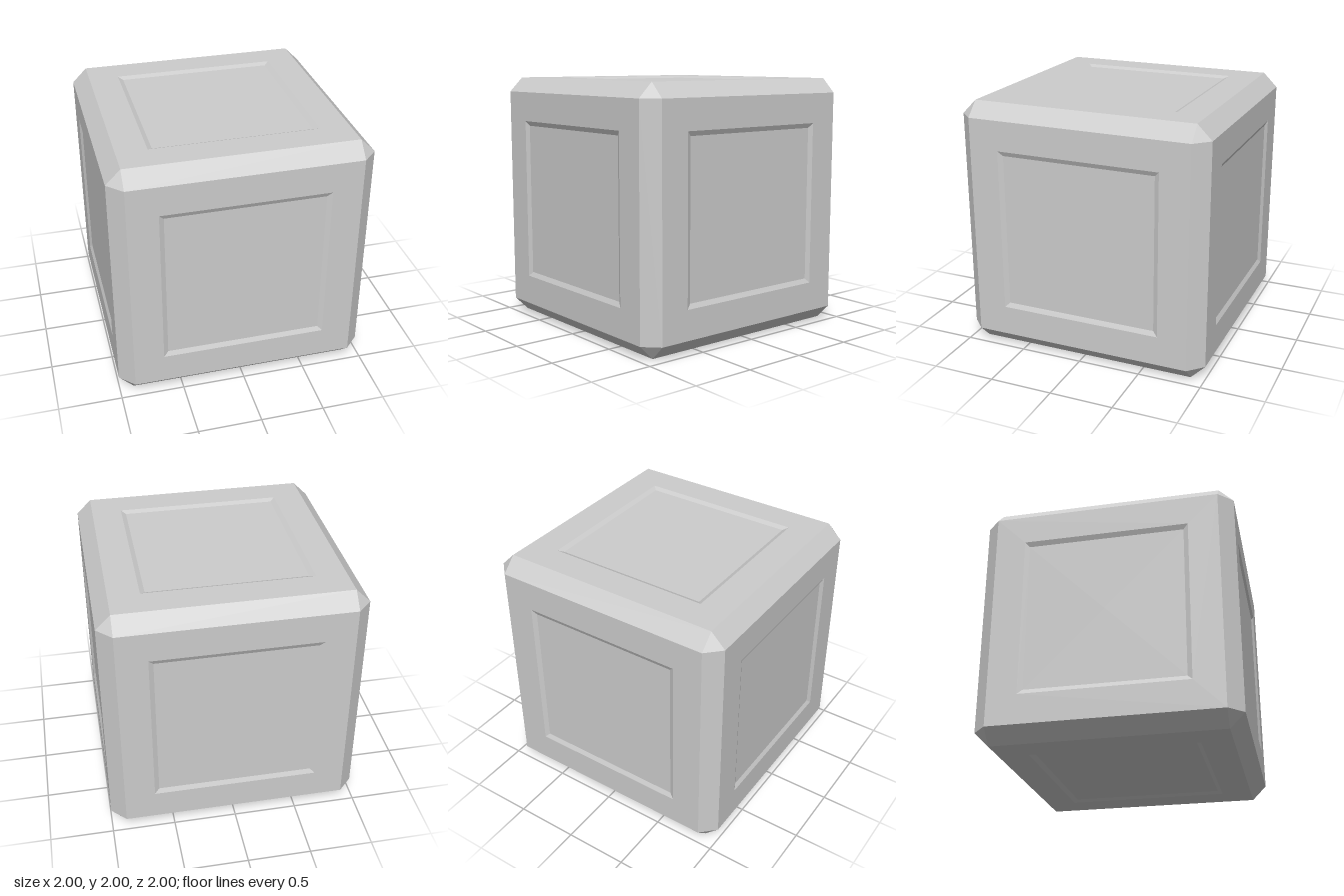
import * as THREE from 'three';

const FLAT = 0.886;   // half width of each flat face
const OUTER = 0.65;   // half width of the recess at its rim
const INNER = 0.613;  // half width of the recess floor
const DEPTH = 0.018;  // recess depth

export function createModel() {
  const model = new THREE.Group();
  model.name = 'chamferedCube';
  const body = new THREE.Group();
  body.name = 'body';
  body.position.y = 1;
  model.add(body);

  const material = new THREE.MeshStandardMaterial({ color: 0xcccccc, flatShading: true });
  const add = (name, geometry, x = 0, y = 0, z = 0) => {
    const mesh = new THREE.Mesh(geometry, material);
    mesh.name = name;
    mesh.rotation.set(x, y, z);
    body.add(mesh);
  };
  const quarter = Math.PI / 2;

  // Face with a shallow sloped-wall recess: a four-sided lathe, facing +y
  const profile = [[FLAT, 1], [OUTER, 1], [INNER, 1 - DEPTH], [0, 1 - DEPTH]]
    .map(([half, y]) => new THREE.Vector2(half * Math.SQRT2, y));
  const face = new THREE.LatheGeometry(profile, 4, Math.PI / 4);
  add('topFace', face);
  add('frontFace', face, quarter);
  add('bottomFace', face, 2 * quarter);
  add('backFace', face, -quarter);
  add('leftFace', face, 0, 0, -quarter);
  add('rightFace', face, 0, 0, quarter);

  // Twelve edge chamfers: four around each axis
  for (let k = 0; k < 4; k++) {
    const strip = new THREE.PlaneGeometry(2 * FLAT, (1 - FLAT) * Math.SQRT2);
    strip.translate(0, 0, (1 + FLAT) / Math.SQRT2);
    strip.rotateX((k + 0.5) * quarter);
    add('edgeChamferX', strip);
    add('edgeChamferY', strip, 0, 0, quarter);
    add('edgeChamferZ', strip, 0, quarter, 0);
  }

  // Eight corner triangles
  for (const sx of [-1, 1]) for (const sy of [-1, 1]) for (const sz of [-1, 1]) {
    const points = [[1, FLAT, FLAT], [FLAT, 1, FLAT], [FLAT, FLAT, 1]]
      .map(([x, y, z]) => new THREE.Vector3(x * sx, y * sy, z * sz));
    if (sx * sy * sz < 0) points.reverse();
    const corner = new THREE.BufferGeometry().setFromPoints(points);
    corner.computeVertexNormals();
    add('cornerChamfer', corner);
  }

  return model;
}
